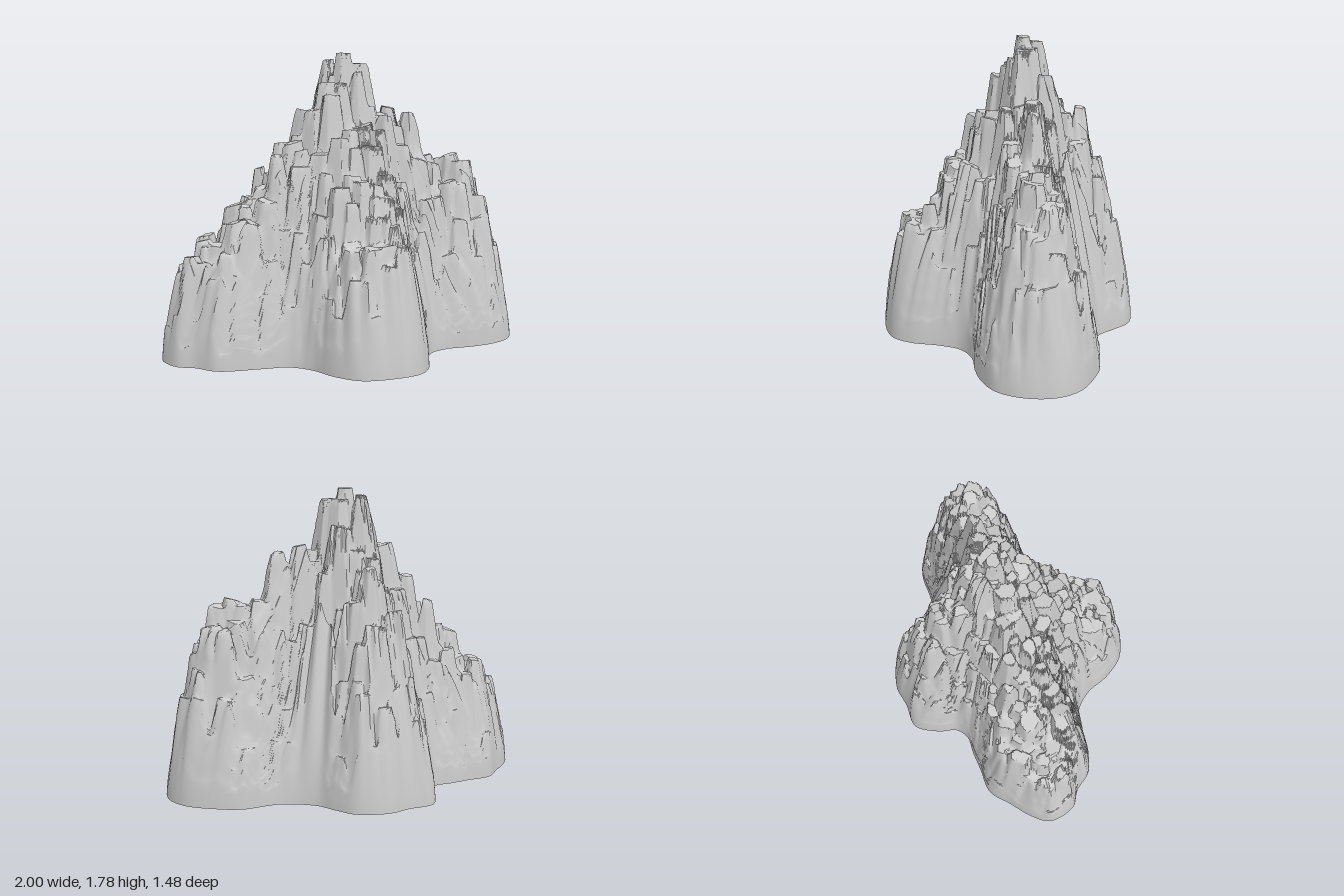
import * as THREE from 'three';
import { toCreasedNormals } from 'three/addons/utils/BufferGeometryUtils.js';

// Footprint of the mountain on the ground (x, z)
const FOOTPRINT = [
  [-1, -0.45], [-0.95, -0.62], [-0.83, -0.68], [-0.68, -0.71], [-0.53, -0.74], [-0.38, -0.67],
  [-0.27, -0.62], [-0.18, -0.57], [-0.09, -0.58], [0, -0.67], [0.14, -0.745], [0.28, -0.68],
  [0.42, -0.63], [0.54, -0.49], [0.55, -0.35], [0.55, -0.22], [0.65, -0.04], [0.85, 0.08],
  [0.93, 0.2], [0.995, 0.38], [0.97, 0.53], [0.86, 0.66], [0.7, 0.73], [0.55, 0.71], [0.42, 0.65],
  [0.28, 0.56], [0.15, 0.54], [0.02, 0.6], [-0.12, 0.7], [-0.25, 0.735], [-0.42, 0.67],
  [-0.56, 0.55], [-0.59, 0.38], [-0.57, 0.2], [-0.61, 0.06], [-0.72, -0.03], [-0.92, -0.2], [-0.95, -0.35],
];

// Peaks: x, z, height, fall per unit of distance
const PEAKS = [
  [0.04, -0.06, 1.78, 2.0], [0.03, -0.17, 1.74, 1.7], [0.3, 0.1, 1.45, 1.9], [0.41, 0.18, 1.41, 1.8],
  [0.4, -0.14, 1.2, 1.2], [0.6, 0.36, 1.15, 1.0], [-0.32, -0.15, 1.26, 1.5], [-0.5, -0.3, 0.94, 1.0],
  [-0.75, -0.42, 0.67, 0.5], [-0.2, 0.12, 1.04, 1.4], [-0.18, 0.42, 0.85, 0.8], [0.15, -0.48, 1.1, 0.7],
];

let seed = 11;
const rand = (a, b) => {
  seed = (seed * 16807) % 2147483647;
  return a + (b - a) * (seed / 2147483647);
};

// Evenly spaced footprint points with outward normals and a flute factor
const curve = new THREE.CatmullRomCurve3(FOOTPRINT.map(([x, z]) => new THREE.Vector3(x, 0, z)), true);
const RIM = 320, RINGS = 90;
const rim = Array.from({ length: RIM }, (_, i) => {
  const p = curve.getPointAt(i / RIM);
  const t = curve.getTangentAt(i / RIM);
  const a = (i / RIM) * Math.PI * 2;
  const flute = 1 + 0.12 * Math.sin(a * 37 + 2 * Math.sin(a * 5)) + 0.08 * Math.sin(a * 61 + 3 * Math.sin(a * 7));
  return { x: p.x, z: p.z, nx: t.z, nz: -t.x, flute };
});

// Signed distance inside the footprint
function inset(x, z) {
  let best = Infinity, near;
  for (const p of rim) {
    const d = Math.hypot(x - p.x, z - p.z);
    if (d < best) { best = d; near = p; }
  }
  return (near.x - x) * near.nx + (near.z - z) * near.nz >= 0 ? best : -best;
}

const edgeHeight = (d) => 3 * Math.pow(Math.max(d, 0), 0.72);
const peakHeight = (x, z) => Math.max(...PEAKS.map(([px, pz, h, s]) =>
  h - s * Math.max(0, Math.hypot(x - px, z - pz) - 0.05)));

// Rock column: height, half-width, tilted top and irregular side planes
function makeColumn(x, z, h, r) {
  const spin = rand(0, 6);
  const sides = Array.from({ length: 6 }, (_, i) => {
    const a = spin + ((i + rand(-0.3, 0.3)) / 6) * Math.PI * 2;
    return [Math.cos(a), Math.sin(a), r * rand(0.75, 1.25)];
  });
  return { x, z, h, sides, tx: rand(-0.25, 0.25), tz: rand(-0.25, 0.25) };
}

// Columns on every peak and on a jittered grid between them
function makeColumns() {
  const columns = PEAKS.map(([x, z, h]) => makeColumn(x, z, h, 0.04));
  const step = 0.095;
  for (let row = 0; row * step < 1.5; row++) {
    for (let col = 0; col * step < 2; col++) {
      const x = -1 + (col + (row % 2) * 0.5) * step + rand(-0.03, 0.03);
      const z = -0.75 + row * step + rand(-0.03, 0.03);
      const d = inset(x, z);
      if (d < 0.04) continue;
      const h = Math.min(edgeHeight(d - 0.015), peakHeight(x, z)) * rand(0.9, 1.04);
      columns.push(makeColumn(x, z, h, rand(0.03, 0.06)));
    }
  }
  return columns;
}

// Terrain height: the highest tapered column over a base slope, limited near the rim
function terrainHeight(x, z, columns, flute) {
  const edge = edgeHeight(inset(x, z) * flute);
  let y = 0.86 * Math.min(edge, peakHeight(x, z));
  for (const c of columns) {
    const dx = x - c.x, dz = z - c.z;
    if (c.h + 0.03 < y || dx * dx + dz * dz > 0.06) continue;
    let out = 0;
    for (const [nx, nz, r] of c.sides) out = Math.max(out, dx * nx + dz * nz - r);
    y = Math.max(y, c.h + c.tx * dx + c.tz * dz - 7 * out);
  }
  return Math.min(y, edge * 1.06);
}

// Surface through closed rings of points, listed from the rim inwards
function loft(rings) {
  const n = rings[0].length, index = [];
  for (let k = 0; k < rings.length - 1; k++) {
    for (let i = 0; i < n; i++) {
      const a = k * n + i, b = k * n + (i + 1) % n;
      index.push(a, a + n, b, b, a + n, b + n);
    }
  }
  const g = new THREE.BufferGeometry();
  g.setAttribute('position', new THREE.Float32BufferAttribute(rings.flat(2), 3));
  g.setIndex(index);
  return g;
}

export function createModel() {
  const group = new THREE.Group();
  const material = new THREE.MeshStandardMaterial({ color: 0xcccccc, roughness: 0.9 });
  const add = (name, geometry) => {
    const mesh = new THREE.Mesh(geometry, material);
    mesh.name = name;
    group.add(mesh);
  };

  // Crags: rings shrink from the footprint to the middle, closer together at the rim
  const columns = makeColumns();
  const rings = Array.from({ length: RINGS + 1 }, (_, k) => {
    const t = 1 - Math.pow(k / RINGS, 1.4);
    return rim.map((p) => {
      const x = p.x * t, z = p.z * t;
      const flute = 1 + (p.flute - 1) * t;
      return [x, k === 0 ? 0 : terrainHeight(x, z, columns, flute), z];
    });
  });
  add('crags', toCreasedNormals(loft(rings), 0.9));

  // Flat underside
  const shape = new THREE.Shape(rim.map((p) => new THREE.Vector2(p.x, p.z)));
  add('underside', new THREE.ShapeGeometry(shape).rotateX(Math.PI / 2));

  return group;
}
